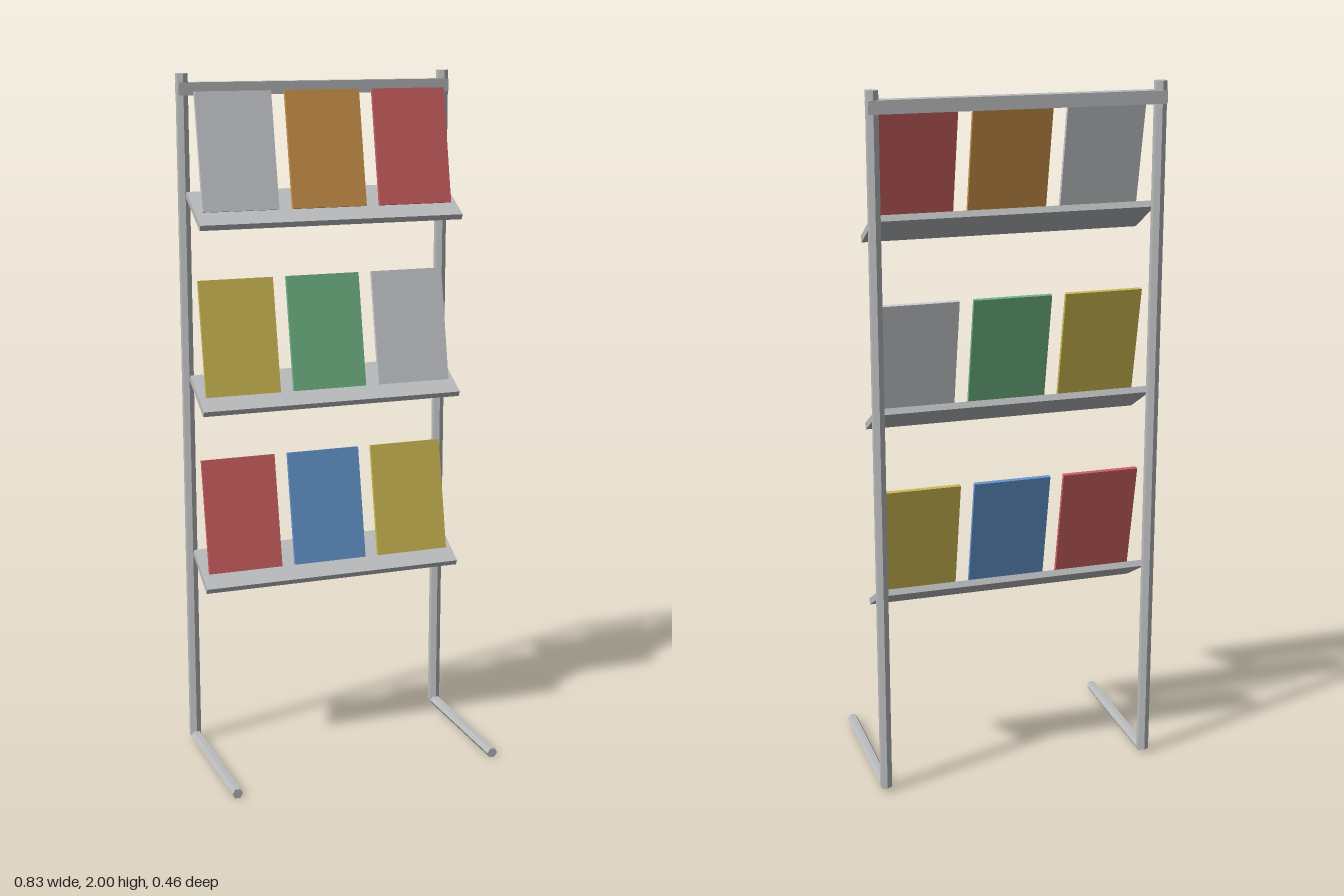
import * as THREE from 'three';

const mat = (name, color) => {
  const m = new THREE.MeshStandardMaterial({ color });
  m.name = name;
  return m;
};

export function createModel() {
  const root = new THREE.Group();
  root.name = 'displayRack';

  const metal = mat('metal grey', 0xbabcbd);
  const white = mat('cover white', 0xcbccd0);
  const red = mat('cover red', 0xcc6060);
  const orange = mat('cover orange', 0xcc934a);
  const yellow = mat('cover yellow', 0xccb852);
  const green = mat('cover green', 0x6fb585);
  const blue = mat('cover blue', 0x6394cc);

  const add = (name, geometry, material, x, y, z, tilt = 0) => {
    const mesh = new THREE.Mesh(geometry, material);
    mesh.name = name;
    mesh.position.set(x, y, z);
    mesh.rotation.x = tilt;
    root.add(mesh);
    return mesh;
  };

  // Six-sided tube with crisp faces
  const hexTube = (radius, length) => {
    const g = new THREE.CylinderGeometry(radius, radius, length, 6).toNonIndexed();
    g.computeVertexNormals();
    return g;
  };

  // Upright posts and the feet reaching forward from them
  const postZ = -0.214;
  const postGeo = hexTube(0.018, 1.987);
  const footGeo = hexTube(0.0155, 0.434).rotateY(Math.PI / 6).rotateX(Math.PI / 2);
  for (const [side, x] of [['left', 0.397], ['right', -0.397]]) {
    add(`${side}Post`, postGeo, metal, x, 1.0065, postZ);
    add(`${side}Foot`, footGeo, metal, x, 0.0134, 0.0125);
  }

  // Top cross rail
  add('topRail', new THREE.BoxGeometry(0.822, 0.036, 0.036), metal, 0, 1.957, postZ);

  // Sloping shelves, each with three leaning booklets
  const shelfGeo = new THREE.BoxGeometry(0.794, 0.018, 0.16);
  const bookGeo = new THREE.BoxGeometry(0.224, 0.335, 0.012);
  const rows = [
    [red, blue, yellow],
    [yellow, green, white],
    [white, orange, red],
  ];
  rows.forEach((covers, row) => {
    const y = 0.564 + row * 0.53;
    add(`shelf${row + 1}`, shelfGeo, metal, 0, y, -0.122, Math.PI / 6);
    covers.forEach((cover, i) => {
      add(`booklet${row + 1}_${i + 1}`, bookGeo, cover, (i - 1) * 0.265, y + 0.1625, -0.1275, -0.2);
    });
  });

  return root;
}
